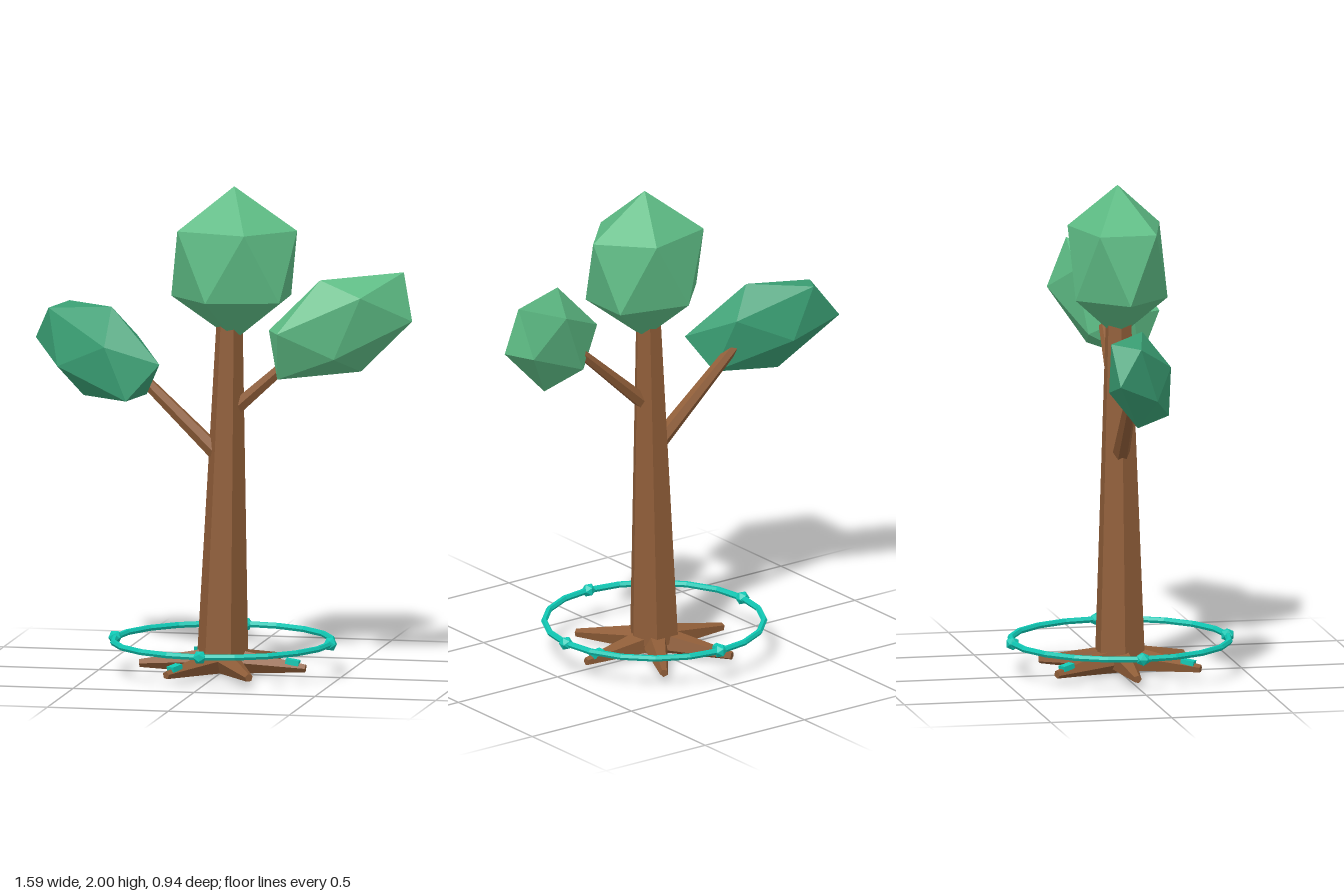
import * as THREE from 'three';

const V = (x, y, z) => new THREE.Vector3(x, y, z);
const paint = (color) => new THREE.MeshStandardMaterial({ color, flatShading: true });

export function createModel() {
  const tree = new THREE.Group();
  tree.name = 'tree';
  const bark = paint(0x8f5d38);
  const leafLight = paint(0x5dbb84);
  const leafDark = paint(0x3a9f74);
  const teal = paint(0x10c8b4);
  const axisX = 0.012; // trunk foot, centre of the roots and ring

  const add = (name, geometry, material) => {
    const mesh = new THREE.Mesh(geometry, material);
    mesh.name = name;
    tree.add(mesh);
    return mesh;
  };

  // Tapered faceted limb between two points
  const limb = (name, from, to, r0, r1, sides, twist = 0) => {
    const dir = to.clone().sub(from);
    const geometry = new THREE.CylinderGeometry(r1, r0, dir.length(), sides).rotateY(twist);
    const mesh = add(name, geometry, bark);
    mesh.quaternion.setFromUnitVectors(V(0, 1, 0), dir.normalize());
    mesh.position.copy(from).add(to).multiplyScalar(0.5);
    return mesh;
  };

  // Foliage: an icosahedron stretched along three given axes
  const crown = (name, material, centre, ex, ey, ez) => {
    const geometry = new THREE.IcosahedronGeometry(1, 0);
    geometry.applyMatrix4(new THREE.Matrix4().makeBasis(ex, ey, ez));
    geometry.computeVertexNormals();
    add(name, geometry, material).position.copy(centre);
  };

  // Trunk and branches
  limb('trunk', V(axisX, 0.06, 0), V(0.042, 1.5, 0), 0.106, 0.052, 6, Math.PI / 6);
  limb('rightBranch', V(0, 0.895, 0), V(-0.41, 1.28, -0.03), 0.036, 0.022, 6);
  limb('leftBranch', V(0.03, 1.06, 0), V(0.4, 1.39, 0.01), 0.034, 0.02, 6);

  // Crowns; the top one stands on a corner
  const tilt = Math.atan(2 / (1 + Math.sqrt(5)));
  const top = new THREE.IcosahedronGeometry(1, 0).rotateZ(-tilt).scale(0.291, 0.315, 0.223);
  top.computeVertexNormals();
  add('topCrown', top, leafLight).position.set(0.06, 1.685, 0);
  crown('leftCrown', leafLight, V(0.507, 1.448, 0.035),
    V(0.273, 0.133, -0.169), V(-0.163, 0.062, -0.027), V(0.015, 0.188, 0.079));
  crown('rightCrown', leafDark, V(-0.511, 1.303, -0.028),
    V(0.13, 0.146, -0.01), V(-0.255, 0.121, -0.171), V(-0.091, 0.118, 0.059));

  // Six roots, with a glowing chip on every other one
  for (let i = 0; i < 6; i++) {
    const angle = (i * Math.PI) / 3;
    const at = (r, y) => V(axisX + r * Math.cos(angle), y, r * Math.sin(angle));
    limb('root', at(0, 0.062), at(0.343, 0.036), 0.06, 0.017, 5);
    if (i % 2 === 0) {
      const chip = add('rootChip', new THREE.BoxGeometry(0.055, 0.022, 0.036), teal);
      chip.position.copy(at(0.29, 0.06));
      chip.rotation.set(0, -angle, -0.15, 'YXZ');
    }
  }

  // Floating ring with four beads
  const ringY = 0.138, ringR = 0.445;
  const ring = new THREE.TorusGeometry(ringR, 0.013, 6, 20).rotateX(Math.PI / 2);
  add('ring', ring, teal).position.set(axisX, ringY, 0);
  for (let i = 0; i < 4; i++) {
    const angle = (i * Math.PI) / 2;
    const bead = add('ringBead', new THREE.IcosahedronGeometry(0.029, 0), teal);
    bead.position.set(axisX + ringR * Math.cos(angle), ringY, ringR * Math.sin(angle));
  }

  return tree;
}
